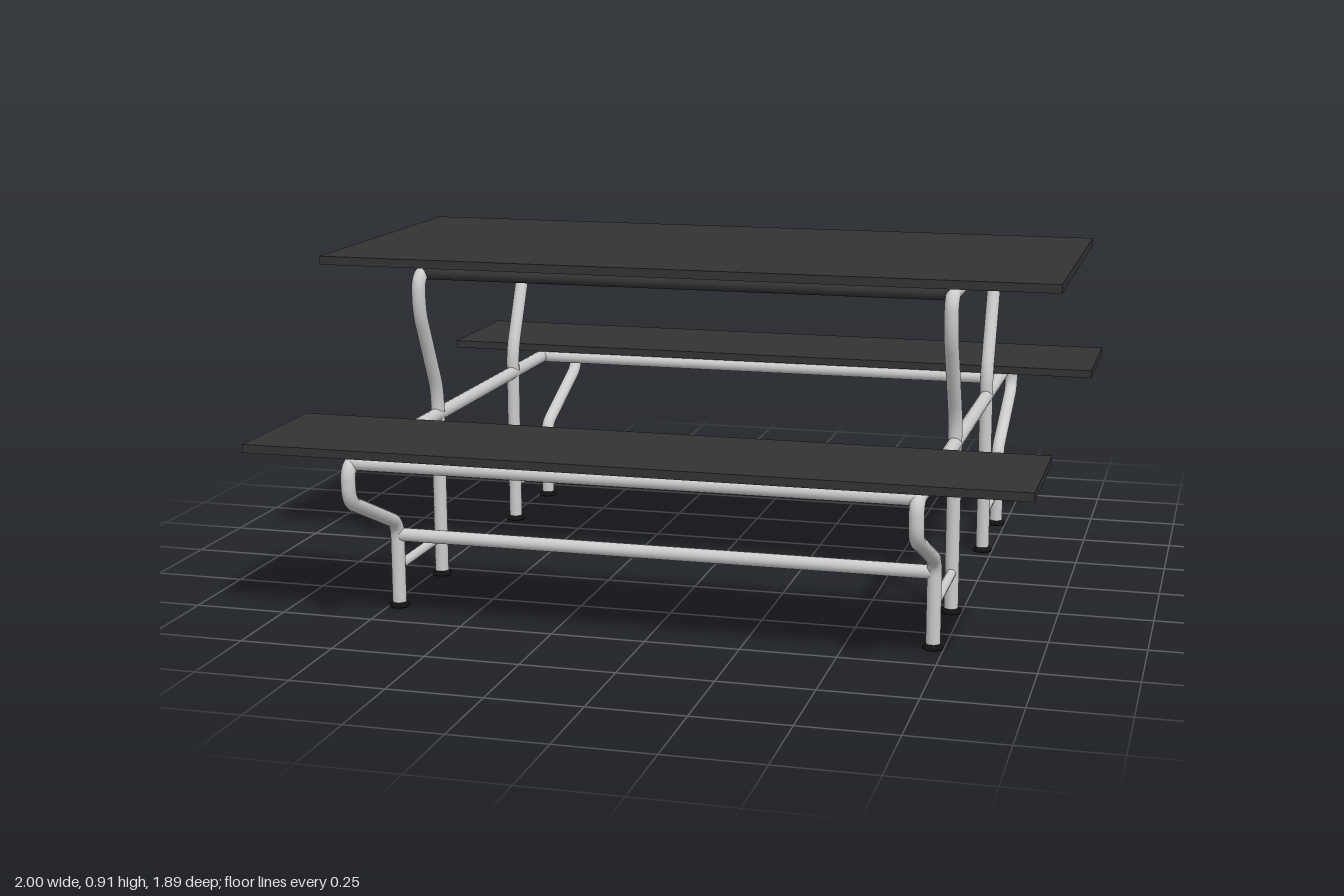
import * as THREE from 'three';

const steel = new THREE.MeshStandardMaterial({ color: 0xcccccc });
const dark = new THREE.MeshStandardMaterial({ color: 0x333333 });
const rubber = new THREE.MeshStandardMaterial({ color: 0x111111 });

const FRAME_X = 0.722, R = 0.019;

function add(parent, name, geometry, material, x = 0, y = 0, z = 0) {
  const mesh = new THREE.Mesh(geometry, material);
  mesh.name = name;
  mesh.position.set(x, y, z);
  parent.add(mesh);
  return mesh;
}

// Tube through [z, y] corners, each corner rounded by the given cut length
function bentPipe(points, cut) {
  const p = points.map(([z, y]) => new THREE.Vector3(0, y, z));
  const path = new THREE.CurvePath();
  let last = p[0];
  for (let i = 1; i < p.length - 1; i++) {
    const a = p[i].clone().add(p[i - 1].clone().sub(p[i]).setLength(cut));
    const b = p[i].clone().add(p[i + 1].clone().sub(p[i]).setLength(cut));
    path.add(new THREE.LineCurve3(last, a));
    path.add(new THREE.QuadraticBezierCurve3(a, p[i], b));
    last = b;
  }
  path.add(new THREE.LineCurve3(last, p[p.length - 1]));
  return new THREE.TubeGeometry(path, 260, R, 16, false);
}

// Mirrors a half profile across z = 0 into one continuous pipe
const mirrored = (half) => [...half, ...half.map(([z, y]) => [-z, y]).reverse()];

export function createModel() {
  const model = new THREE.Group();
  model.name = 'picnicTable';

  // Boards
  add(model, 'tableTop', new THREE.BoxGeometry(2, 0.023, 0.888), dark, 0, 0.902, 0);
  for (const s of [1, -1]) {
    add(model, 'benchSeat', new THREE.BoxGeometry(2, 0.022, 0.385), dark, 0, 0.492, s * 0.752);
  }

  // End frames
  const tablePipe = bentPipe(mirrored([[0.31, 0.01], [0.31, 0.53], [0.425, 0.77], [0.425, 0.872]]), 0.045);
  const benchPipe = bentPipe(mirrored([[0.62, 0.01], [0.62, 0.233], [0.925, 0.365], [0.925, 0.462]]), 0.04);
  const brace = new THREE.CylinderGeometry(0.013, 0.013, 0.31, 12, 1, true).rotateX(Math.PI / 2);
  const foot = new THREE.LatheGeometry(
    [[0, 0], [0.026, 0], [0.028, 0.004], [0.02, 0.014], [0, 0.016]].map(([x, y]) => new THREE.Vector2(x, y)), 20);
  for (const sx of [1, -1]) {
    const frame = new THREE.Group();
    frame.name = 'endFrame';
    frame.position.x = sx * FRAME_X;
    add(frame, 'tableLegPipe', tablePipe, steel);
    add(frame, 'benchLegPipe', benchPipe, steel);
    for (const sz of [1, -1]) {
      add(frame, 'legBrace', brace, steel, 0, 0.112, sz * 0.465);
      for (const z of [0.31, 0.62]) add(frame, 'foot', foot, rubber, 0, 0, sz * z);
    }
    model.add(frame);
  }

  // Long rails joining the two end frames
  const rail = new THREE.CylinderGeometry(0.018, 0.018, FRAME_X * 2, 16, 1, true).rotateZ(Math.PI / 2);
  for (const s of [1, -1]) {
    add(model, 'tableRail', rail, dark, 0, 0.872, s * 0.395);
    add(model, 'outerSeatRail', rail, steel, 0, 0.462, s * 0.905);
    add(model, 'innerSeatRail', rail, steel, 0, 0.462, s * 0.585);
    add(model, 'lowerRail', rail, steel, 0, 0.2, s * 0.62);
  }
  return model;
}
